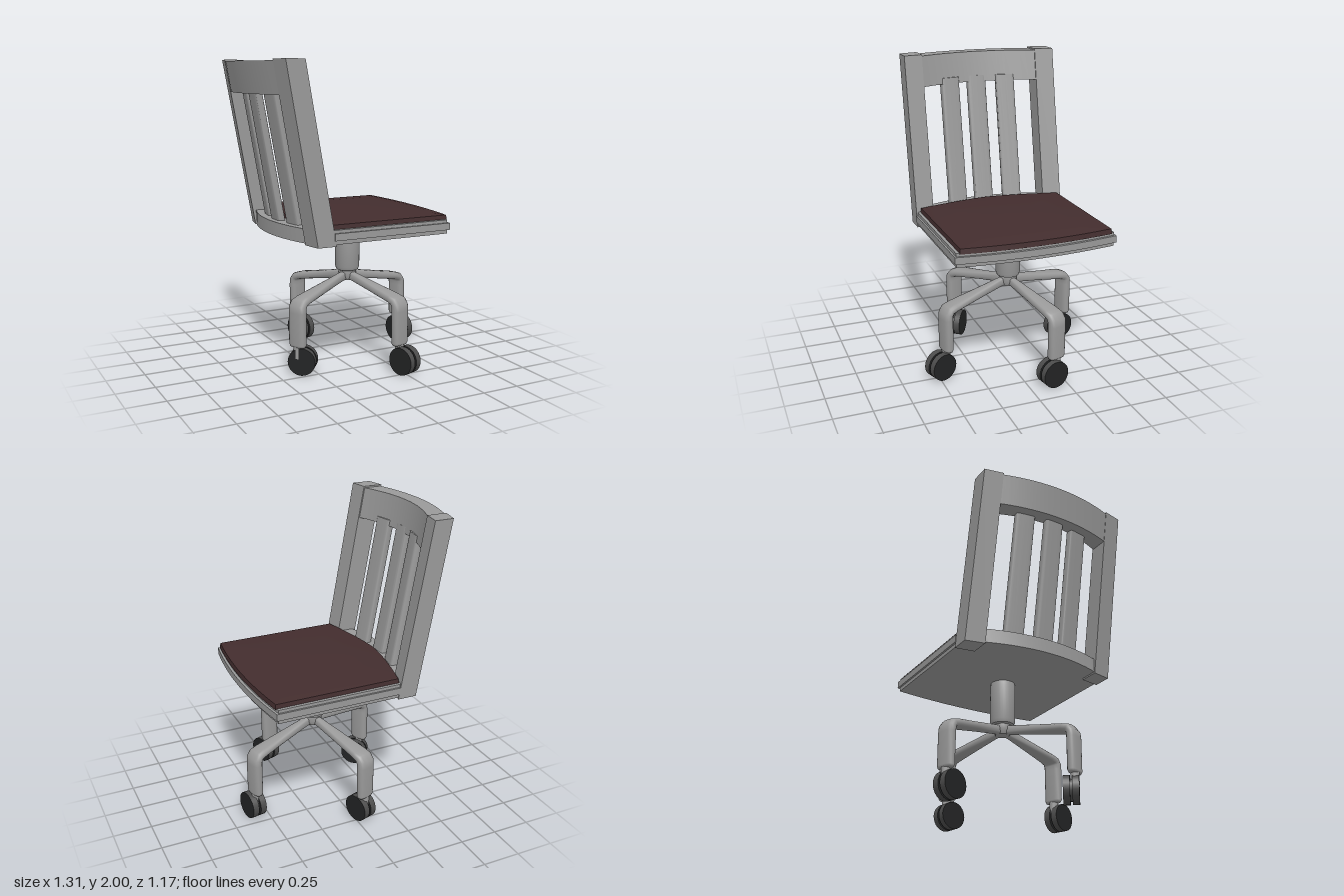
import * as THREE from 'three';
import { toCreasedNormals } from 'three/addons/utils/BufferGeometryUtils.js';

const mat = (name, color) => {
  const m = new THREE.MeshStandardMaterial({ color });
  m.name = name;
  return m;
};

// Extrude a plan of shape(x, -z) from y0 to y1, leaning back as it rises (x is given at y = 2)
function leaning(shape, y0, y1, slope = 0, bevel = 0) {
  const g = new THREE.ExtrudeGeometry(shape, {
    depth: y1 - y0 - 2 * bevel, curveSegments: 16,
    bevelEnabled: bevel > 0, bevelSize: bevel, bevelOffset: -bevel, bevelThickness: bevel, bevelSegments: 1,
  });
  g.rotateX(-Math.PI / 2).translate(0, y0 + bevel, 0);
  const p = g.attributes.position;
  for (let i = 0; i < p.count; i++) p.setX(i, p.getX(i) + slope * (2 - p.getY(i)));
  return toCreasedNormals(g, 0.6);
}

// Skin over closed rings of points, counter-clockwise seen from the last ring
function loft(rings) {
  const n = rings[0].length, pos = [], idx = [];
  rings.forEach((r) => r.forEach((v) => pos.push(v.x, v.y, v.z)));
  for (let i = 0; i < rings.length - 1; i++) {
    for (let j = 0; j < n; j++) {
      const a = i * n + j, b = i * n + (j + 1) % n;
      idx.push(a, b, a + n, b, b + n, a + n);
    }
  }
  const g = new THREE.BufferGeometry();
  g.setAttribute('position', new THREE.Float32BufferAttribute(pos, 3));
  g.setIndex(idx);
  g.computeVertexNormals();
  return g;
}

// Seat plan: curved front, straight sides, rear either straight or bowed between the posts
function seatPlan(half, corner, frontControl, bowed) {
  const s = new THREE.Shape();
  s.moveTo(corner, -half);
  s.quadraticCurveTo(frontControl, 0, corner, half);
  s.lineTo(-0.25, half);
  if (bowed) {
    s.lineTo(-0.38, 0.42);
    s.quadraticCurveTo(-0.54, 0, -0.38, -0.42);
  }
  s.lineTo(-0.25, -half);
  s.closePath();
  return s;
}

// Cushion outline in x and z
function cushionRing(y, inset) {
  const pts = [], half = 0.503 - inset, N = 10;
  for (let i = 0; i <= N; i++) {
    const t = 1 - 2 * i / N;
    pts.push(new THREE.Vector3(0.575 + 0.037 * (1 - t * t) - inset, y, t * half));
  }
  for (let i = 0; i <= N; i++) {
    const t = 2 * i / N - 1;
    pts.push(new THREE.Vector3(-0.255 - 0.088 * (1 - Math.abs(t) ** 1.5) + inset, y, t * half));
  }
  return pts;
}

// Leg from the hub outward along x, then bent down; stations are [r, y, width, thickness]
function legGeometry(length) {
  const L = length;
  const stations = [
    [0, 0.565, 0.05, 0.06], [0.07, 0.555, 0.05, 0.06], [L * 0.5, 0.52, 0.085, 0.055],
    [L - 0.06, 0.482, 0.118, 0.055], [L - 0.02, 0.47, 0.124, 0.058], [L - 0.003, 0.445, 0.126, 0.062],
    [L, 0.41, 0.126, 0.064], [L, 0.2, 0.122, 0.064], [L, 0.185, 0.11, 0.05], [L, 0.184, 0.001, 0.001],
  ];
  const rings = stations.map(([r, y, w, th], i) => {
    const a = stations[Math.max(i - 1, 0)], b = stations[Math.min(i + 1, stations.length - 1)];
    const d = new THREE.Vector2(b[0] - a[0], b[1] - a[1]).normalize();
    const ring = [];
    for (let k = 0; k < 16; k++) {
      const ang = k / 16 * Math.PI * 2, c = Math.cos(ang), s = Math.sin(ang);
      const n = Math.sign(c) * Math.abs(c) ** 0.7 * th / 2;
      const side = Math.sign(s) * Math.abs(s) ** 0.7 * w / 2;
      ring.push(new THREE.Vector3(r - d.y * n, y + d.x * n, side));
    }
    return ring;
  });
  return loft(rings);
}

export function createModel() {
  const frame = mat('frame grey', 0x999999);
  const fabric = mat('cushion brown', 0x432d2e);
  const tread = mat('caster grey', 0x4c4c4c);
  const cap = mat('wheel black', 0x222324);

  const model = new THREE.Group();
  model.name = 'swivelChair';
  const add = (parent, name, geometry, material) => {
    const m = new THREE.Mesh(geometry, material);
    m.name = name;
    parent.add(m);
    return m;
  };

  // Seat and back share one centre line
  const upper = new THREE.Group();
  upper.name = 'seatAndBack';
  upper.position.z = -0.048;
  model.add(upper);

  add(upper, 'seatBoard', leaning(seatPlan(0.523, 0.565, 0.645, true), 0.89, 0.98), frame);
  add(upper, 'seatTrim', leaning(seatPlan(0.535, 0.578, 0.668, false), 0.915, 0.96), frame);

  const cushion = loft([
    cushionRing(0.975, 0), cushionRing(1.008, 0.004), cushionRing(1.017, 0.06),
    cushionRing(1.027, 0.2), cushionRing(1.03, 0.38),
    cushionRing(0, 0).map(() => new THREE.Vector3(0.15, 1.031, 0)),
  ]);
  add(upper, 'cushion', toCreasedNormals(cushion, 0.5), fabric);

  // Back posts
  for (const s of [1, -1]) {
    const plan = new THREE.Shape([[-0.44, 0.53], [-0.565, 0.53], [-0.592, 0.405], [-0.46, 0.405]]
      .map(([x, z]) => new THREE.Vector2(x, z * s)));
    add(upper, s > 0 ? 'rightBackPost' : 'leftBackPost', leaning(plan, 0.88, 2, 0.18), frame);
  }

  // Bowed top rail
  const rail = new THREE.Shape();
  rail.moveTo(-0.465, -0.41);
  rail.quadraticCurveTo(-0.645, 0, -0.465, 0.41);
  rail.lineTo(-0.588, 0.41);
  rail.quadraticCurveTo(-0.722, 0, -0.588, -0.41);
  rail.closePath();
  add(upper, 'topRail', leaning(rail, 1.79, 1.99, 0.18), frame);

  // Three slats following the bow
  for (const k of [-1, 0, 1]) {
    const c = new THREE.Vector2(-0.578 + 0.028 * Math.abs(k), 0.2 * k + 0.0), turn = -0.17 * k;
    const pts = [];
    for (let i = 0; i < 24; i++) {
      const a = i / 24 * Math.PI * 2, u = Math.cos(a), v = Math.sin(a);
      pts.push(new THREE.Vector2(Math.sign(u) * Math.abs(u) ** 0.35 * 0.026, Math.sign(v) * Math.abs(v) ** 0.35 * 0.065)
        .rotateAround(new THREE.Vector2(), turn).add(c));
    }
    add(upper, 'backSlat', leaning(new THREE.Shape(pts), 0.96, 1.83, 0.18), frame);
  }

  // Column and hub
  const hub = new THREE.Vector2(0.105, -0.035);
  const profile = [[0, 0.525], [0.045, 0.53], [0.06, 0.56], [0.058, 0.595], [0.074, 0.602], [0.082, 0.625], [0.083, 0.86], [0.078, 0.9]]
    .map(([x, y]) => new THREE.Vector2(x, y));
  const column = add(model, 'column', toCreasedNormals(new THREE.LatheGeometry(profile, 28), 0.7), frame);
  column.position.set(hub.x, 0, hub.y);

  // Legs with casters: [leg x, leg z, caster x, caster z, axle x, axle z]
  const feet = [
    [0.585, -0.18, 0.593, -0.152, 0.98, -0.17],
    [0.235, 0.445, 0.25, 0.49, 0.94, -0.33],
    [-0.37, 0.19, -0.333, 0.188, 0.6, -0.8],
    [-0.05, -0.515, -0.04, -0.48, 0.95, -0.3],
  ];
  for (const [lx, lz, cx, cz, ax, az] of feet) {
    const dx = lx - hub.x, dz = lz - hub.y;
    const leg = add(model, 'leg', legGeometry(Math.hypot(dx, dz)), frame);
    leg.position.set(hub.x, 0, hub.y);
    leg.rotation.y = Math.atan2(-dz, dx);

    const stem = add(model, 'casterStem', new THREE.CylinderGeometry(0.028, 0.028, 0.1, 14), frame);
    stem.position.set(lx, 0.16, lz);

    // Twin wheel, axle along local z
    const caster = new THREE.Group();
    caster.name = 'caster';
    caster.position.set(cx, 0.09, cz);
    caster.rotation.y = Math.atan2(ax, az);
    model.add(caster);
    for (const s of [1, -1]) {
      const g = new THREE.CylinderGeometry(0.09, 0.09, 0.042, 28).rotateX(Math.PI / 2);
      add(caster, 'wheel', g, [tread, cap, cap]).position.z = s * 0.028;
    }
    add(caster, 'axleBlock', new THREE.CylinderGeometry(0.07, 0.07, 0.016, 20).rotateX(Math.PI / 2), tread);
  }
  return model;
}
